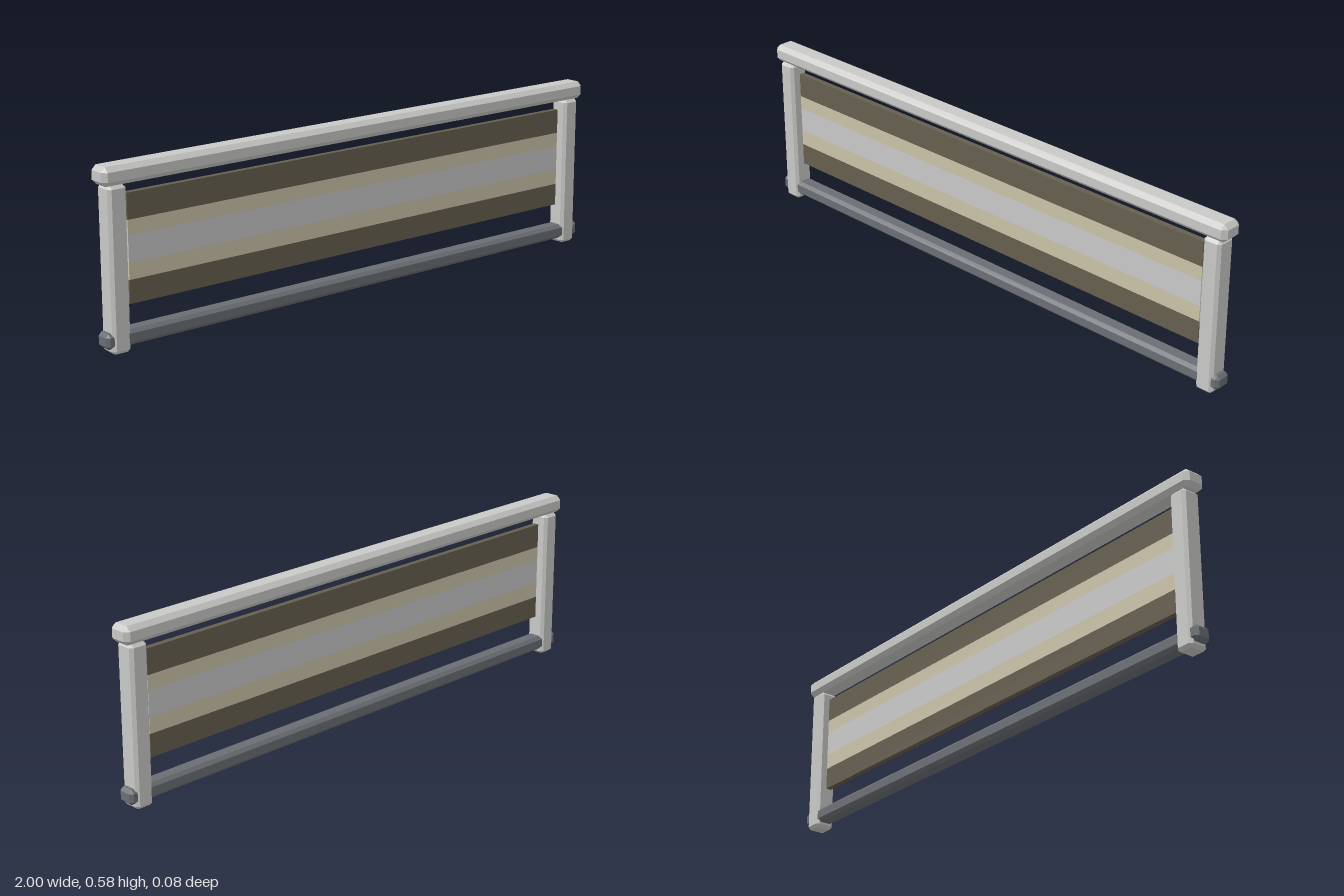
import * as THREE from 'three';
import { ConvexGeometry } from 'three/addons/geometries/ConvexGeometry.js';

const paint = (name, color) => new THREE.MeshStandardMaterial({ name, color });

// Box with every edge and corner cut at 45 degrees
function chamferedBox(w, h, d, c) {
  const points = [];
  for (const x of [-w / 2, w / 2]) for (const y of [-h / 2, h / 2]) for (const z of [-d / 2, d / 2]) {
    const ix = x - Math.sign(x) * c, iy = y - Math.sign(y) * c, iz = z - Math.sign(z) * c;
    points.push(
      new THREE.Vector3(x, iy, iz),
      new THREE.Vector3(ix, y, iz),
      new THREE.Vector3(ix, iy, z));
  }
  return new ConvexGeometry(points);
}

export function createModel() {
  const lightGrey = paint('light grey metal', 0xc8c8c6);
  const darkGrey = paint('dark grey metal', 0x6a6e73);
  const brown = paint('dark brown', 0x665f50);
  const tan = paint('tan', 0xcac2a8);
  const silver = paint('silver', 0xc8c8c8);

  const model = new THREE.Group();
  model.name = 'barrier';
  const add = (parent, name, geometry, material, x, y) => {
    const mesh = new THREE.Mesh(geometry, material);
    mesh.name = name;
    mesh.position.set(x, y, 0);
    parent.add(mesh);
  };

  // Frame: top rail, lower rail and two posts
  add(model, 'topRail', chamferedBox(2, 0.06, 0.08, 0.015), lightGrey, 0, 0.555);
  add(model, 'lowerRail', chamferedBox(2, 0.05, 0.06, 0.011), darkGrey, 0, 0.043);
  const post = chamferedBox(0.064, 0.525, 0.069, 0.01);
  add(model, 'leftPost', post, lightGrey, 0.948, 0.2625);
  add(model, 'rightPost', post, lightGrey, -0.948, 0.2625);

  // Panel: horizontal coloured bands stacked from bottom to top
  const panel = new THREE.Group();
  panel.name = 'panel';
  model.add(panel);
  const edges = [0.143, 0.219, 0.273, 0.359, 0.407, 0.491];
  const bands = [
    ['lowerBrownBand', brown], ['lowerTanBand', tan], ['middleBand', silver],
    ['upperTanBand', tan], ['upperBrownBand', brown],
  ];
  bands.forEach(([name, material], i) => {
    const low = edges[i], high = edges[i + 1];
    add(panel, name, new THREE.BoxGeometry(1.806, high - low, 0.02), material, 0, (low + high) / 2);
  });

  return model;
}
